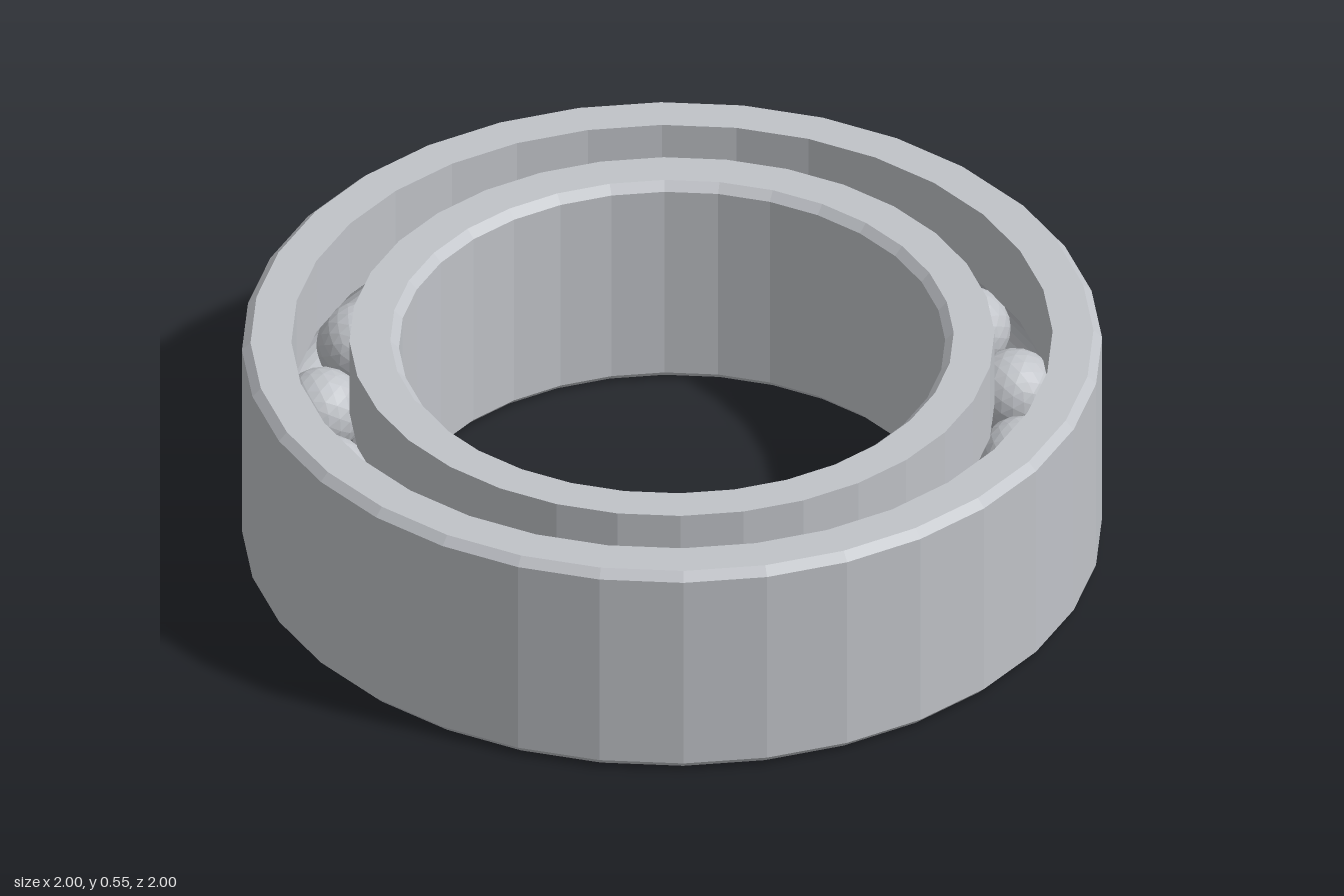
import * as THREE from 'three';

const HEIGHT = 0.545, MID = HEIGHT / 2, BEVEL = 0.02;
const PITCH = 0.8175;      // radius of the circle through the ball centres
const BALL = 0.1, BALLS = 18, SEGMENTS = 32;

// Arc of the ball groove where it cuts a wall at radius wallRadius
function groove(wallRadius, rising) {
  const gap = Math.abs(wallRadius - PITCH);
  const side = Math.sign(wallRadius - PITCH);
  const half = Math.acos(gap / BALL);
  const steps = 8, pts = [];
  for (let i = 0; i <= steps; i++) {
    const a = (i / steps * 2 - 1) * half * (rising ? 1 : -1);
    pts.push([PITCH + side * BALL * Math.cos(a), MID + BALL * Math.sin(a)]);
  }
  return pts;
}

// Closed profile, counter-clockwise, spun around y with faceted sides
function makeRing(name, profile, material) {
  const points = [...profile, profile[0]].map(([r, y]) => new THREE.Vector2(r, y));
  const geometry = new THREE.LatheGeometry(points, SEGMENTS).toNonIndexed();
  geometry.computeVertexNormals();
  const mesh = new THREE.Mesh(geometry, material);
  mesh.name = name;
  return mesh;
}

export function createModel() {
  const group = new THREE.Group();
  group.name = 'ballBearing';
  const steel = new THREE.MeshStandardMaterial({ color: 0xc0c3c8, flatShading: true });
  steel.name = 'steel';

  // Outer race: bevelled outside, grooved inside
  group.add(makeRing('outerRace', [
    [0.885, 0], [1 - BEVEL, 0], [1, BEVEL],
    [1, HEIGHT - BEVEL], [1 - BEVEL, HEIGHT], [0.885, HEIGHT],
    ...groove(0.885, false),
  ], steel));

  // Inner race: grooved outside, bevelled bore
  const bore = 0.635;
  group.add(makeRing('innerRace', [
    [bore + BEVEL, 0], [0.75, 0],
    ...groove(0.75, true),
    [0.75, HEIGHT], [bore + BEVEL, HEIGHT],
    [bore, HEIGHT - BEVEL], [bore, BEVEL],
  ], steel));

  // Balls evenly spaced between the races
  const ballGeometry = new THREE.IcosahedronGeometry(BALL, 3);
  const balls = new THREE.Group();
  balls.name = 'balls';
  for (let i = 0; i < BALLS; i++) {
    const a = i / BALLS * Math.PI * 2;
    const ball = new THREE.Mesh(ballGeometry, steel);
    ball.name = 'ball';
    ball.position.set(PITCH * Math.cos(a), MID, PITCH * Math.sin(a));
    ball.rotation.y = -a;
    balls.add(ball);
  }
  group.add(balls);
  return group;
}
